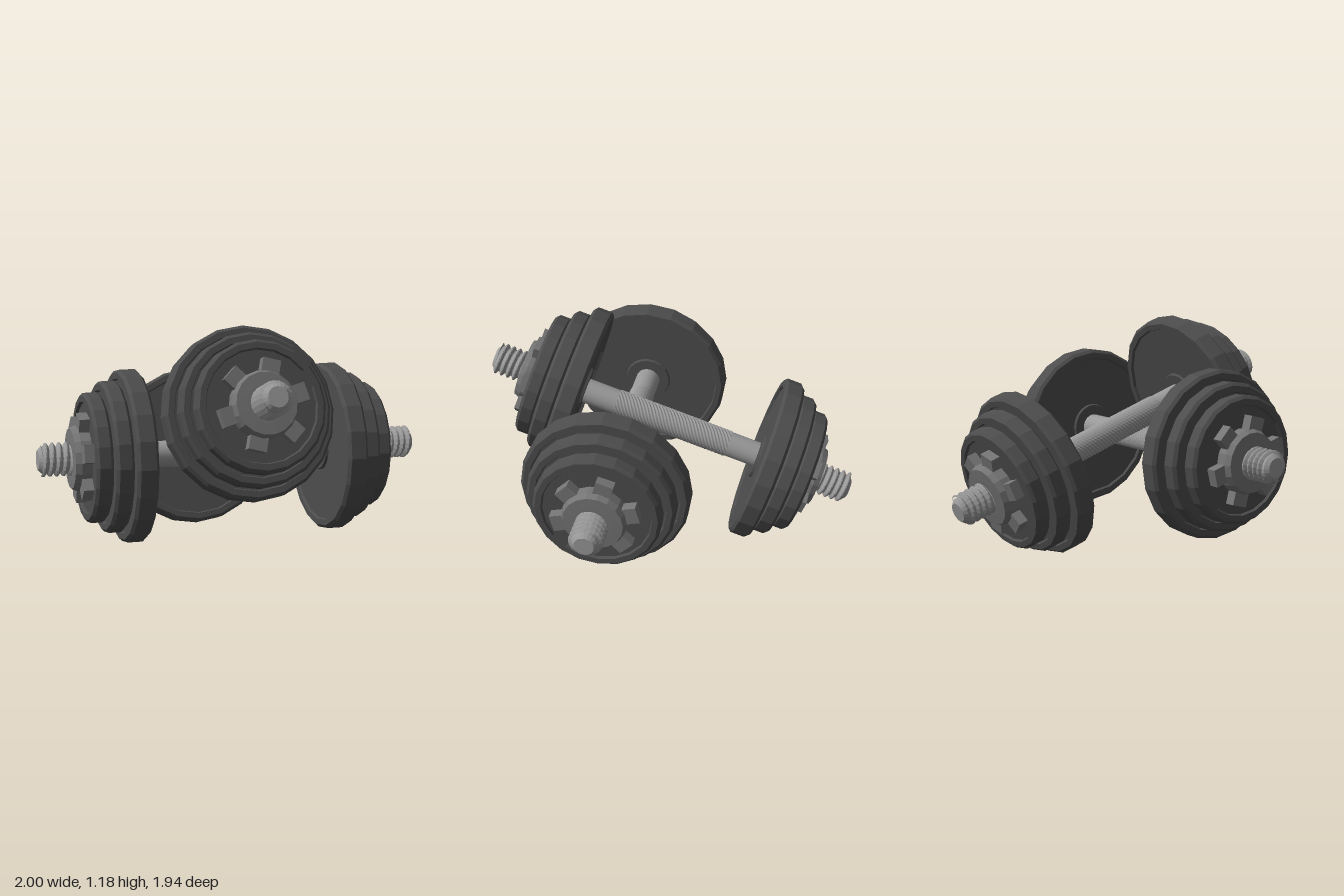
import * as THREE from 'three';

const material = (color) => new THREE.MeshStandardMaterial({ color, flatShading: true });
const plateMaterial = material(0x4d4d4d);
const nutMaterial = material(0x757575);
const steelMaterial = material(0x999999);
const barMaterial = new THREE.MeshStandardMaterial({ color: 0x999999 });

function add(parent, name, geometry, mat) {
  const mesh = new THREE.Mesh(geometry, mat);
  mesh.name = name;
  parent.add(mesh);
  return mesh;
}

function lathe(pairs, sides) {
  return new THREE.LatheGeometry(pairs.map(([r, y]) => new THREE.Vector2(r, y)), sides);
}

// Chamfered weight disc with a raised rim and hub on both faces
function plateGeometry(radius, y0, y1) {
  const c = 0.015, dish = 0.014, rim = radius - 0.045;
  return lathe([
    [0.06, y0], [0.12, y0], [0.125, y0 + dish], [rim - 0.006, y0 + dish], [rim, y0],
    [radius - c, y0], [radius, y0 + c], [radius, y1 - c], [radius - c, y1],
    [rim, y1], [rim - 0.006, y1 - dish], [0.125, y1 - dish], [0.12, y1], [0.06, y1],
  ], 20);
}

// Helical ridges made by pushing cylinder vertices outward along a spiral
function threadGeometry(y0, y1, pitch) {
  const geometry = new THREE.CylinderGeometry(1, 1, y1 - y0, 20, 48, true);
  geometry.translate(0, (y0 + y1) / 2, 0);
  const p = geometry.attributes.position;
  for (let i = 0; i < p.count; i++) {
    const angle = Math.atan2(p.getX(i), p.getZ(i));
    const phase = p.getY(i) / pitch + angle / (Math.PI * 2);
    const ridge = 1 - Math.abs(2 * (phase - Math.floor(phase)) - 1);
    const r = 0.064 + 0.021 * Math.min(1, ridge * 1.3);
    p.setXYZ(i, p.getX(i) * r, p.getY(i), p.getZ(i) * r);
  }
  geometry.computeVertexNormals();
  return geometry;
}

// Diamond grip made by raising every other vertex
function knurlGeometry(length) {
  const sides = 28, rows = 64;
  const geometry = new THREE.CylinderGeometry(1, 1, length, sides, rows, true);
  const p = geometry.attributes.position;
  for (let i = 0; i < p.count; i++) {
    const row = Math.floor(i / (sides + 1)), column = i % (sides + 1);
    const r = (row + column) % 2 ? 0.0705 : 0.0665;
    p.setXYZ(i, p.getX(i) * r, p.getY(i), p.getZ(i) * r);
  }
  geometry.computeVertexNormals();
  return geometry;
}

// One loaded end, built along +y; shift slides the plates and nut along the bar
function createEnd(shift) {
  const end = new THREE.Group();
  const stack = new THREE.Group();
  stack.name = 'weightStack';
  stack.position.y = shift;
  end.add(stack);

  add(stack, 'largePlate', plateGeometry(0.436, 0.477, 0.583), plateMaterial);
  add(stack, 'mediumPlate', plateGeometry(0.382, 0.583, 0.672), plateMaterial);
  add(stack, 'smallPlate', plateGeometry(0.327, 0.672, 0.757), plateMaterial);

  // Star nut with six lugs
  const nut = new THREE.Group();
  nut.name = 'starNut';
  stack.add(nut);
  add(nut, 'nutBody', lathe([
    [0.06, 0.74], [0.165, 0.74], [0.165, 0.795], [0.152, 0.825], [0.095, 0.827], [0.06, 0.827],
  ], 18), nutMaterial);
  for (let i = 0; i < 6; i++) {
    const lug = add(nut, 'nutLug', new THREE.BoxGeometry(0.09, 0.052, 0.1), nutMaterial);
    lug.geometry.translate(0, 0.769, 0.176);
    lug.rotation.y = Math.PI / 12 + i * Math.PI / 3;
  }

  // Threaded tip
  add(end, 'thread', threadGeometry(0.8, 0.985, 0.034), steelMaterial);
  add(end, 'barTip', lathe([[0.068, 0.8], [0.068, 0.982], [0.05, 1], [0, 1]], 20), steelMaterial);
  return end;
}

function createDumbbell() {
  const dumbbell = new THREE.Group();
  const bar = add(dumbbell, 'bar', new THREE.CylinderGeometry(0.066, 0.066, 1.64, 28), barMaterial);
  bar.rotation.z = Math.PI / 2;
  const grip = add(dumbbell, 'knurledGrip', knurlGeometry(0.63), steelMaterial);
  grip.rotation.z = Math.PI / 2;

  const leftEnd = createEnd(0);
  leftEnd.name = 'leftEnd';
  leftEnd.rotation.z = -Math.PI / 2;
  const rightEnd = createEnd(0.012);
  rightEnd.name = 'rightEnd';
  rightEnd.rotation.z = Math.PI / 2;
  dumbbell.add(leftEnd, rightEnd);
  return dumbbell;
}

export function createModel() {
  const model = new THREE.Group();
  model.name = 'dumbbellPair';

  // Level dumbbell lying across
  const level = createDumbbell();
  level.name = 'levelDumbbell';
  level.position.set(0, 0.533, 0.237);

  // Second dumbbell leaning over the first
  const leaning = createDumbbell();
  leaning.name = 'leaningDumbbell';
  leaning.position.set(0, 0.598, 0);
  leaning.rotation.set(-0.306, Math.PI / 2, 0);

  model.add(level, leaning);
  return model;
}
